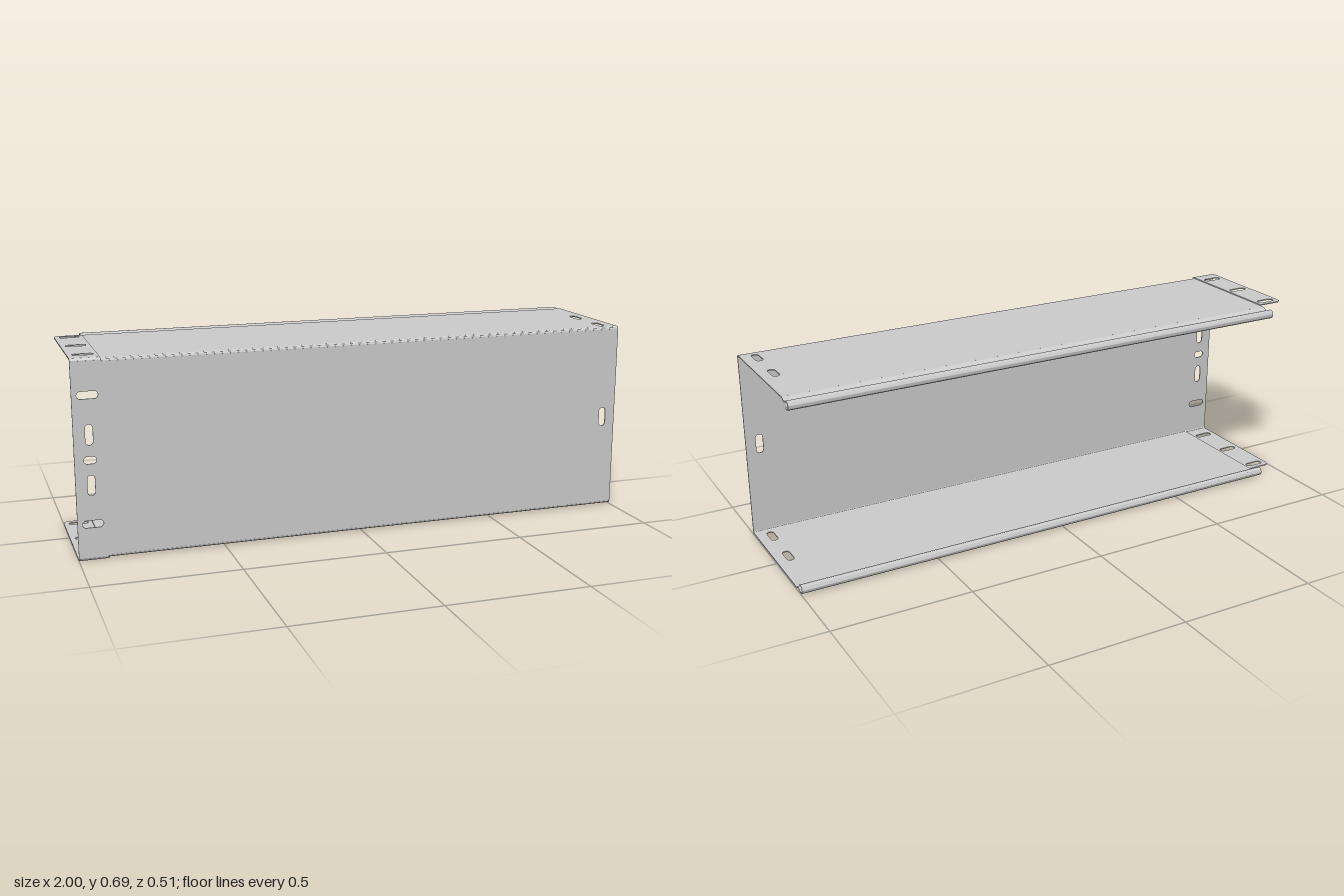
import * as THREE from 'three';
import { toCreasedNormals } from 'three/addons/utils/BufferGeometryUtils.js';

const T = 0.004;        // sheet thickness
const HEIGHT = 0.687;   // overall height
const BEND = 0.009;     // outer bend radius

const material = new THREE.MeshStandardMaterial({ color: 0xcccccc, side: THREE.DoubleSide });

function mesh(name, geometry) {
  const m = new THREE.Mesh(toCreasedNormals(geometry, 0.7), material);
  m.name = name;
  return m;
}

// Obround hole, w by h, centred on (x, y)
function slot([x, y, w, h]) {
  const p = new THREE.Path();
  const r = Math.min(w, h) / 2, dx = w / 2 - r, dy = h / 2 - r;
  if (w > h) {
    p.absarc(x + dx, y, r, -Math.PI / 2, Math.PI / 2);
    p.absarc(x - dx, y, r, Math.PI / 2, Math.PI * 1.5);
  } else {
    p.absarc(x, y + dy, r, 0, Math.PI);
    p.absarc(x, y - dy, r, Math.PI, Math.PI * 2);
  }
  p.closePath();
  return p;
}

// Flat sheet in x/y with slots; corner rounds its top left
function sheet(x0, x1, y0, y1, slots, corner = 0) {
  const s = new THREE.Shape();
  s.moveTo(x0, y0);
  s.lineTo(x1, y0);
  s.lineTo(x1, y1);
  if (corner) {
    s.lineTo(x0 + corner, y1);
    s.absarc(x0 + corner, y1 - corner, corner, Math.PI / 2, Math.PI);
  } else s.lineTo(x0, y1);
  s.closePath();
  s.holes = slots.map(slot);
  return new THREE.ExtrudeGeometry(s, { depth: T, bevelEnabled: false, curveSegments: 8 });
}

// Thin strip following a centre line of (-z, y) points, drawn out along x
function strip(points, x0, x1) {
  const sides = [1, -1].map(sign => points.map((p, i) => {
    const a = points[Math.max(i - 1, 0)], b = points[Math.min(i + 1, points.length - 1)];
    const d = b.clone().sub(a).normalize();
    return new THREE.Vector2(p.x - d.y * sign * T / 2, p.y + d.x * sign * T / 2);
  }));
  const s = new THREE.Shape([...sides[0], ...sides[1].reverse()]);
  const g = new THREE.ExtrudeGeometry(s, { depth: x1 - x0, bevelEnabled: false });
  return g.rotateY(Math.PI / 2).translate(x0, 0, 0);
}

function arc(cx, cy, r, from, to, n) {
  return Array.from({ length: n + 1 }, (_, i) => {
    const a = THREE.MathUtils.degToRad(from + (to - from) * i / n);
    return new THREE.Vector2(cx + r * Math.cos(a), cy + r * Math.sin(a));
  });
}

const flip = points => points.map(p => new THREE.Vector2(p.x, HEIGHT - p.y));

// U-shaped channel: web, two bends and two flanges
function channel(name, o) {
  const g = new THREE.Group();
  g.name = name;
  const top = HEIGHT - o.inset;
  g.add(mesh(name + 'Web',
    sheet(o.x0, o.x1, o.inset + BEND, top - BEND, o.webSlots).translate(0, 0, o.front - T)));
  const bend = arc(-o.front + BEND, top - BEND, BEND - T / 2, 180, 90, 8);
  for (const upper of [true, false]) {
    const side = upper ? 'Top' : 'Bottom';
    const flange = sheet(o.x0, o.x1, -o.front + BEND, -o.back, o.flangeSlots, o.corner);
    flange.rotateX(-Math.PI / 2).translate(0, upper ? top - T : o.inset, 0);
    g.add(mesh(name + side + 'Flange', flange));
    g.add(mesh(name + side + 'Bend', strip(upper ? bend : flip(bend), o.x0, o.x1)));
  }
  return g;
}

export function createModel() {
  const model = new THREE.Group();
  model.name = 'cableTrunking';

  // Long channel
  const body = channel('body', {
    x0: -0.9, x1: 1, inset: 0.004, front: 0.2525, back: -0.195,
    webSlots: [[0.95, 0.345, 0.026, 0.07]],
    flangeSlots: [[0.95, -0.022, 0.026, 0.07], [0.95, -0.19, 0.026, 0.07]],
  });

  // Wavy lip rolled into an open curl along each flange
  const wave = new THREE.CatmullRomCurve3([
    [0.194, 0.681], [0.2, 0.6805], [0.207, 0.676], [0.215, 0.6725], [0.223, 0.675], [0.2307, 0.6786],
  ].map(([x, y]) => new THREE.Vector3(x, y, 0)));
  const lip = [
    ...wave.getPoints(20).slice(0, -1).map(p => new THREE.Vector2(p.x, p.y)),
    ...arc(0.24, 0.6675, 0.0138, 127, -135, 28),
  ];
  body.add(mesh('topCurledLip', strip(lip, -0.9, 1)));
  body.add(mesh('bottomCurledLip', strip(flip(lip), -0.9, 1)));
  model.add(body);

  // Offset joining collar that wraps the next length
  model.add(channel('collar', {
    x0: -1, x1: -0.9, inset: 0, front: 0.2565, back: -0.178, corner: 0.02,
    webSlots: [
      [-0.948, 0.565, 0.07, 0.025], [-0.948, 0.127, 0.07, 0.025],
      [-0.948, 0.432, 0.025, 0.07], [-0.948, 0.26, 0.025, 0.07],
      [-0.948, 0.346, 0.042, 0.025],
    ],
    flangeSlots: [0.147, -0.023, -0.19].map(y => [-0.948, y, 0.07, 0.025]),
  }));

  return model;
}
